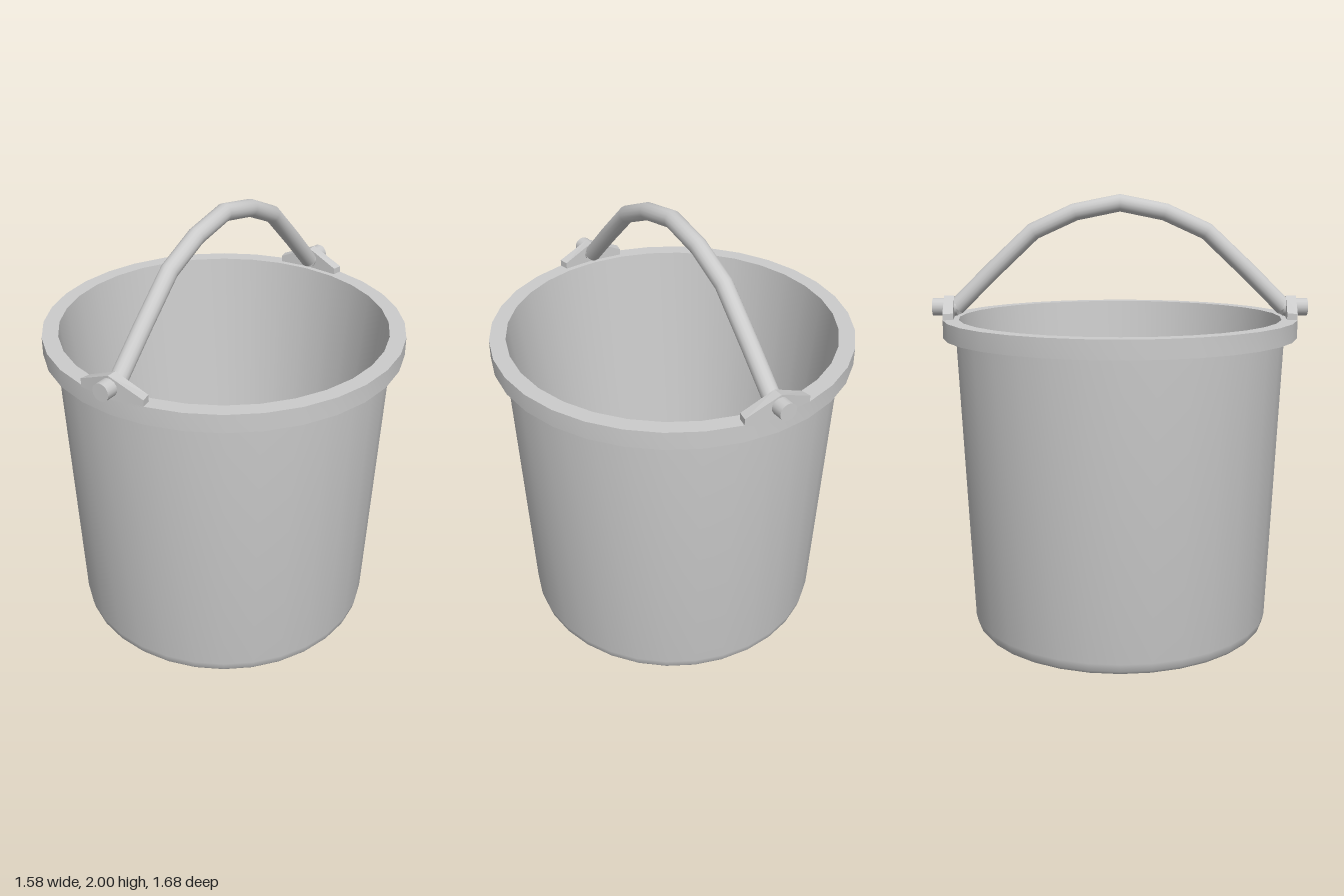
import * as THREE from 'three';
import { toCreasedNormals } from 'three/addons/utils/BufferGeometryUtils.js';

const SIDES = 32;
const material = new THREE.MeshStandardMaterial({ color: 0xcccccc });

function part(name, geometry, parent) {
  const mesh = new THREE.Mesh(geometry, material);
  mesh.name = name;
  parent.add(mesh);
  return mesh;
}

// Curved, peaked lug spanning two facets of the rim
function lugGeometry() {
  const geo = new THREE.BoxGeometry(2, 1, 1, 2, 1, 1).toNonIndexed();
  const p = geo.attributes.position;
  for (let i = 0; i < p.count; i++) {
    const x = p.getX(i);
    const angle = (x * 2 * Math.PI) / SIDES;
    const r = p.getZ(i) > 0 ? 0.79 : 0.745;
    const y = p.getY(i) > 0 ? 1.553 - 0.065 * Math.abs(x) : 1.45;
    p.setXYZ(i, r * Math.sin(angle), y, r * Math.cos(angle));
  }
  geo.computeVertexNormals();
  return geo;
}

export function createModel() {
  const bucket = new THREE.Group();
  bucket.name = 'bucket';

  // Body: shallow cone base, bevel, tapered wall, rim, inner wall, floor
  const profile = [
    [0, 0.005], [0.66, 0.04], [0.672, 0.055], [0.68, 0.09], [0.734, 1.38], [0.79, 1.38],
    [0.79, 1.46], [0.72, 1.46], [0.585, 0.08], [0, 0.08],
  ].map(([r, y]) => new THREE.Vector2(r, y));
  part('body', toCreasedNormals(new THREE.LatheGeometry(profile, SIDES), 0.6), bucket);

  // Handle: arched rod with straight facets between stations
  const half = [[0.2, 1.922], [0.385, 1.838], [0.57, 1.665], [0.735, 1.503]];
  const points = [
    ...half.slice().reverse().map(([z, y]) => new THREE.Vector3(0, y, -z)),
    new THREE.Vector3(0, 1.962, 0),
    ...half.map(([z, y]) => new THREE.Vector3(0, y, z)),
  ];
  const path = new THREE.CatmullRomCurve3(points);
  // Rings fall exactly on the stations
  path.getPointAt = path.getPoint;
  path.getTangentAt = path.getTangent;
  part('handle', new THREE.TubeGeometry(path, points.length - 1, 0.038, 16), bucket);

  // Lug and pivot pin at each end of the handle
  for (const [name, turn] of [['frontPivot', 0], ['backPivot', Math.PI]]) {
    const pivot = new THREE.Group();
    pivot.name = name;
    pivot.rotation.y = turn;
    part('lug', lugGeometry(), pivot);
    const pin = part('pin', new THREE.CylinderGeometry(0.039, 0.039, 0.11, 16), pivot);
    pin.rotation.x = Math.PI / 2;
    pin.position.set(0, 1.503, 0.785);
    bucket.add(pivot);
  }
  return bucket;
}
